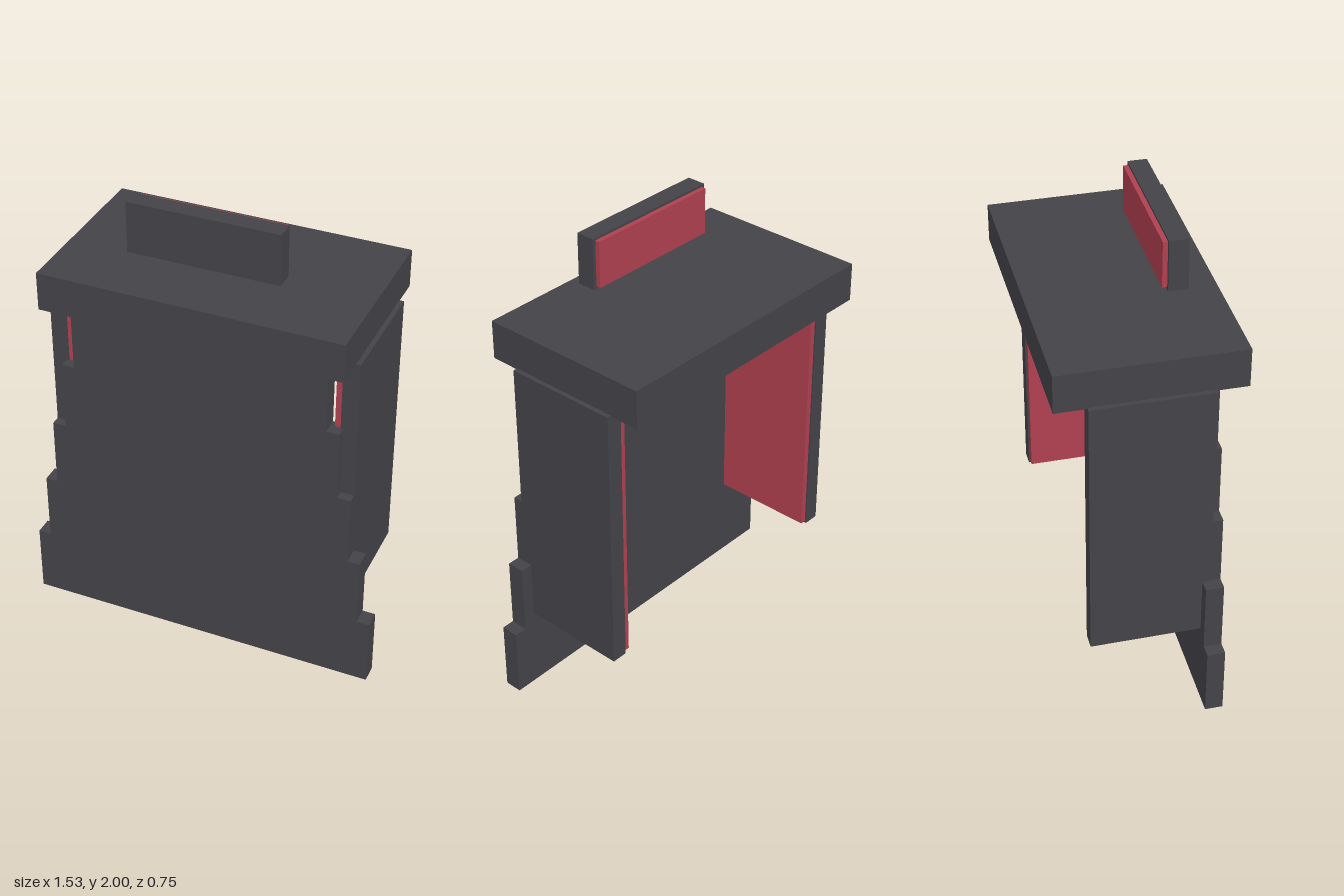
import * as THREE from 'three';

export function createModel() {
  const model = new THREE.Group();
  model.name = 'steppedHoodedShell';

  const charcoal = new THREE.MeshStandardMaterial({ color: 0x444348 });
  charcoal.name = 'charcoal';
  const red = new THREE.MeshStandardMaterial({ color: 0xb04050 });
  red.name = 'red';

  // Box given by its extents on each axis
  function addBox(name, material, [x0, x1], [y0, y1], [z0, z1]) {
    const mesh = new THREE.Mesh(new THREE.BoxGeometry(x1 - x0, y1 - y0, z1 - z0), material);
    mesh.position.set((x0 + x1) / 2, (y0 + y1) / 2, (z0 + z1) / 2);
    mesh.name = name;
    model.add(mesh);
  }

  // Front panel: one outline stepping inwards in five equal tiers
  const halfWidths = [0.765, 0.71, 0.658, 0.6, 0.545];
  const tier = 1.53 / halfWidths.length;
  const rightEdge = halfWidths.flatMap((w, i) => [
    new THREE.Vector2(w, i * tier),
    new THREE.Vector2(w, (i + 1) * tier),
  ]);
  const leftEdge = rightEdge.map((p) => new THREE.Vector2(-p.x, p.y)).reverse();
  const panelShape = new THREE.Shape([...rightEdge, ...leftEdge]);
  const panel = new THREE.Mesh(
    new THREE.ExtrudeGeometry(panelShape, { depth: 0.075, bevelEnabled: false }),
    charcoal
  );
  panel.position.z = 0.213;
  panel.name = 'frontPanel';
  model.add(panel);

  // Side walls with red inner linings
  for (const [side, s] of [['left', 1], ['right', -1]]) {
    const span = (a, b) => (s > 0 ? [a, b] : [-b, -a]);
    addBox(side + 'Wall', charcoal, span(0.589, 0.658), [0.36, 1.535], [-0.247, 0.248]);
    addBox(side + 'Lining', red, span(0.563, 0.589), [0.368, 1.53], [-0.24, 0.24]);
  }

  // Roof slab
  addBox('roof', charcoal, [-0.638, 0.638], [1.53, 1.695], [-0.375, 0.375]);

  // Floating top plate with red backing
  addBox('topPlate', charcoal, [-0.318, 0.318], [1.782, 2], [0.14, 0.22]);
  addBox('topPlateBacking', red, [-0.304, 0.304], [1.793, 1.99], [0.12, 0.14]);

  return model;
}
